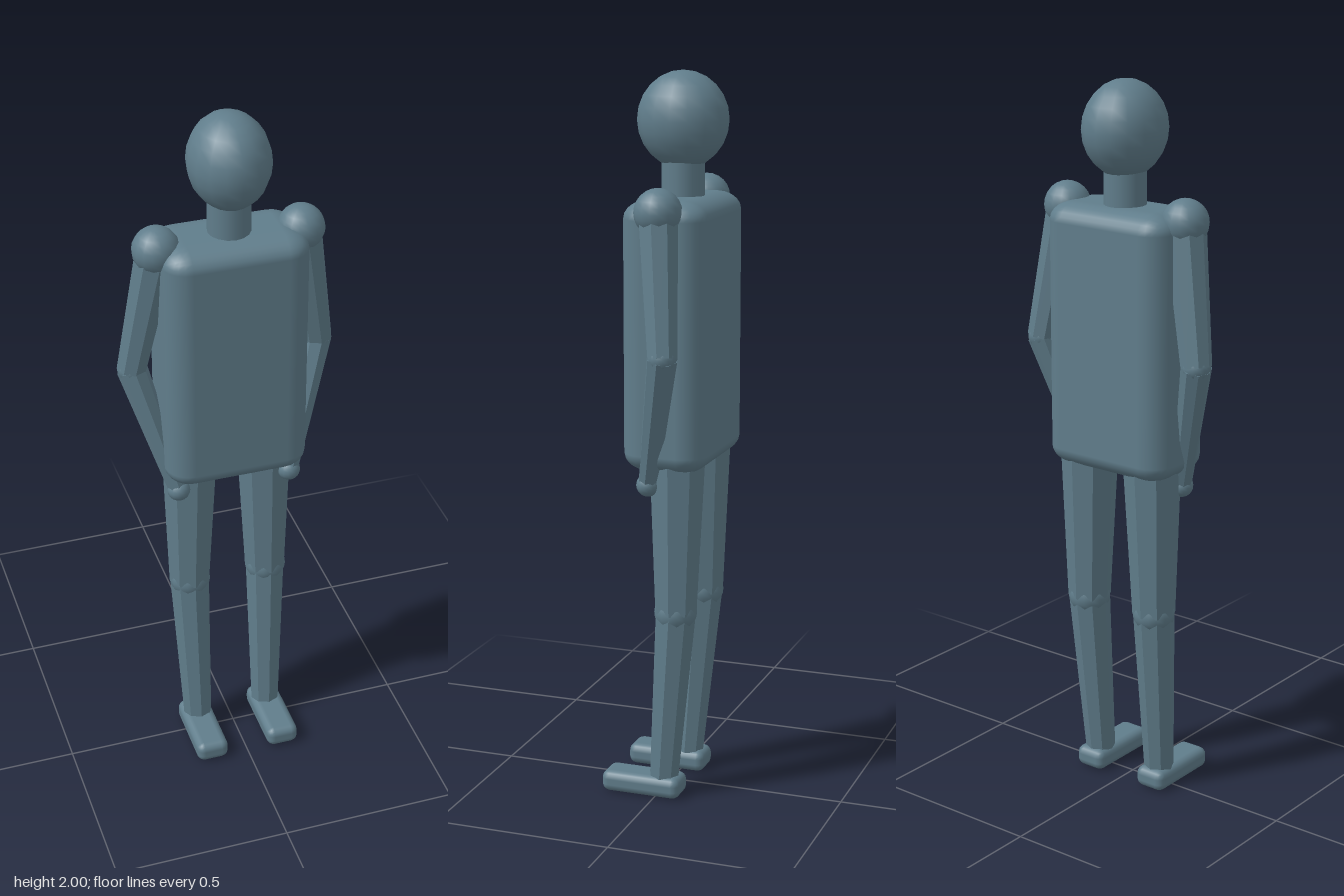
import * as THREE from 'three';
import { RoundedBoxGeometry } from 'three/addons/geometries/RoundedBoxGeometry.js';

export function createModel() {
  const model = new THREE.Group();
  model.name = 'mannequin';
  const body = new THREE.MeshStandardMaterial({ color: 0x607d8b });
  body.name = 'blueGrey';

  const add = (name, geometry, x, y, z) => {
    const mesh = new THREE.Mesh(geometry, body);
    mesh.name = name;
    mesh.position.set(x, y, z);
    model.add(mesh);
    return mesh;
  };
  const ball = (name, r, p) => add(name, new THREE.SphereGeometry(r, 16, 12), ...p);

  // Eight-sided tapered limb between two joints, with faceted normals
  const limb = (name, a, b, ra, rb) => {
    const from = new THREE.Vector3(...a), to = new THREE.Vector3(...b);
    const dir = from.clone().sub(to);
    const geometry = new THREE.CylinderGeometry(ra, rb, dir.length(), 8).toNonIndexed();
    geometry.computeVertexNormals();
    const mid = from.clone().add(to).multiplyScalar(0.5);
    const mesh = add(name, geometry, mid.x, mid.y, mid.z);
    mesh.quaternion.setFromUnitVectors(new THREE.Vector3(0, 1, 0), dir.normalize());
  };

  // Head, neck and torso
  const head = ball('head', 1, [0, 1.87, -0.033]);
  head.scale.set(0.11, 0.13, 0.125);
  add('neck', new THREE.CylinderGeometry(0.058, 0.058, 0.16, 16), 0, 1.71, -0.033);
  const torso = add('torso', new RoundedBoxGeometry(0.4, 1.02, 0.235, 3, 0.07), 0, 1.305, -0.033);
  torso.scale.y = 0.73 / 1.02;

  for (const [side, s] of [['left', 1], ['right', -1]]) {
    // Arm
    const shoulder = [0.197 * s, 1.645, -0.033];
    const elbow = [0.262 * s, 1.275, -0.068];
    const wrist = [0.16 * s, 0.905, 0.01];
    ball(side + 'Shoulder', 0.064, shoulder);
    limb(side + 'UpperArm', shoulder, elbow, 0.056, 0.042);
    ball(side + 'Elbow', 0.04, elbow);
    limb(side + 'Forearm', elbow, wrist, 0.042, 0.027);
    ball(side + 'Hand', 0.032, wrist);

    // Leg
    const hip = [0.108 * s, 0.98, -0.055];
    const knee = [0.114 * s, 0.54, -0.053];
    const ankle = [0.106 * s, 0.055, -0.016];
    limb(side + 'Thigh', hip, knee, 0.08, 0.06);
    ball(side + 'Knee', 0.059, knee);
    limb(side + 'Shin', knee, ankle, 0.058, 0.042);
    add(side + 'Foot', new RoundedBoxGeometry(0.094, 0.06, 0.229, 2, 0.022), 0.108 * s, 0.03, 0.0425);
  }
  return model;
}
